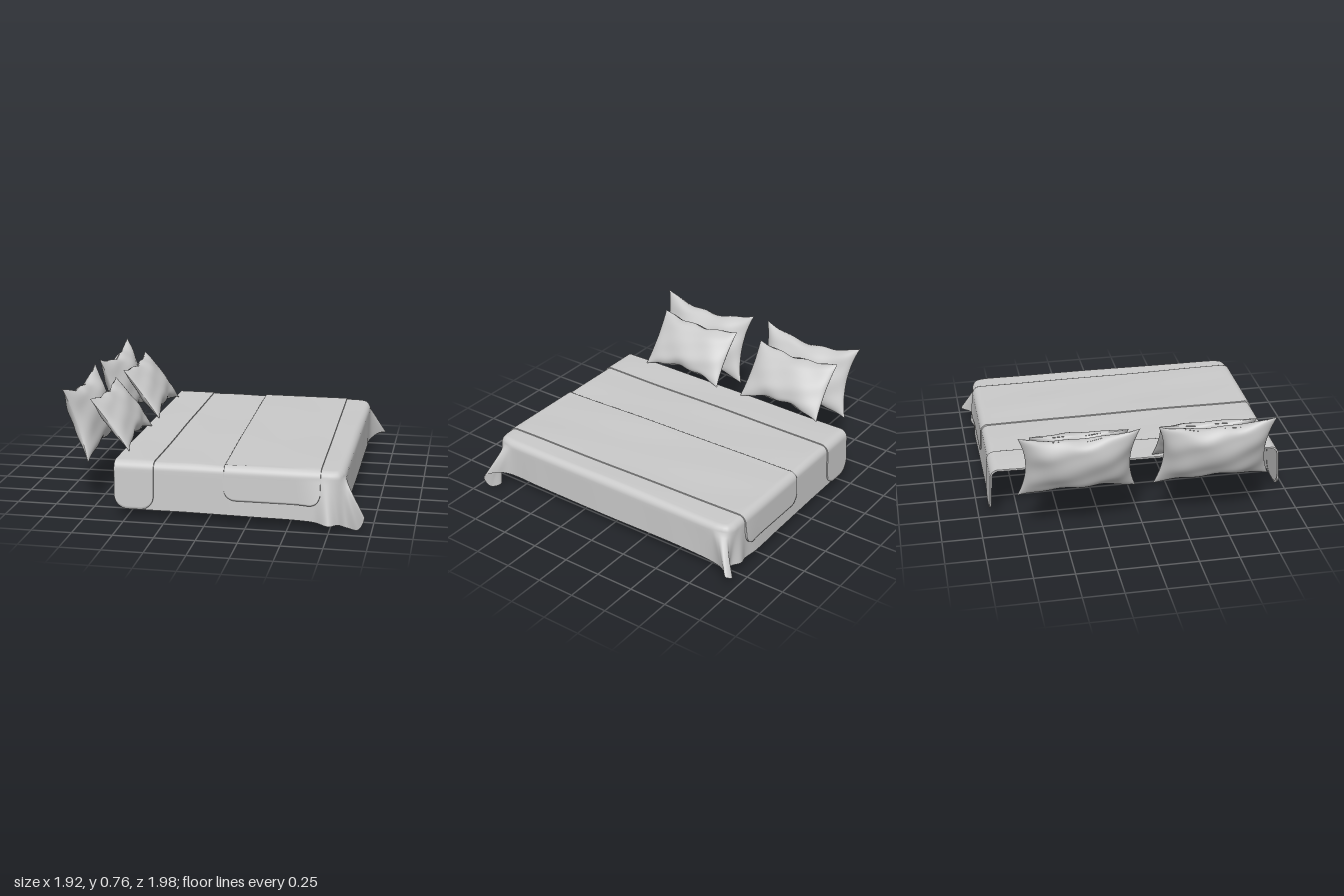
import * as THREE from 'three';

const TOP = 0.353, ROUND = 0.045, SHOULDER = TOP - ROUND;
const ripple = (x, z) => 0.0012 * (Math.sin(9 * x + 3 * z) + Math.sin(7 * z - 5 * x) + Math.sin(17 * x - 4 * z));
// slightly slanted head edge of the cover
const headX = (z) => -0.56 - 0.0115 * z;

// Smooth grid surface from a rule fn(i, j) -> [x, y, z]
function sheet(nu, nv, fn) {
  const pos = [], index = [];
  for (let j = 0; j <= nv; j++) for (let i = 0; i <= nu; i++) pos.push(...fn(i, j));
  for (let j = 0; j < nv; j++) {
    for (let i = 0; i < nu; i++) {
      const a = j * (nu + 1) + i, b = a + 1, c = a + nu + 1, d = c + 1;
      index.push(a, b, d, a, d, c);
    }
  }
  const geo = new THREE.BufferGeometry();
  geo.setAttribute('position', new THREE.Float32BufferAttribute(pos, 3));
  geo.setIndex(index);
  geo.computeVertexNormals();
  return geo;
}

// Draped cover: [top x, top z, outward x, outward z, hem x, hem y, hem z]
const sideKeys = [
  [-0.57, 0.87, 0, 1, -0.57, 0.18, 0.92],
  [-0.56, 0.87, 0, 1, -0.555, 0.12, 0.922],
  [-0.53, 0.87, 0, 1, -0.53, 0.085, 0.923],
  [-0.47, 0.87, 0, 1, -0.47, 0.066, 0.924],
  [-0.1, 0.87, 0, 1, -0.1, 0.06, 0.926],
  [0.3, 0.87, 0, 1, 0.3, 0.055, 0.928],
  [0.54, 0.87, 0, 1, 0.55, 0.052, 0.93],
];
const cornerTop = [
  [0.64, 0.87, 0, 1], [0.71, 0.87, 0, 1], [0.75, 0.868, 0.2, 0.98], [0.775, 0.86, 0.6, 0.8],
  [0.782, 0.845, 0.8, 0.6], [0.785, 0.83, 0.9, 0.4], [0.787, 0.81, 1, 0.1], [0.788, 0.78, 1, 0],
];
const frontHem = [
  [0.66, 0.05, 0.945], [0.75, 0.045, 0.993], [0.8, 0.04, 0.94], [0.85, 0.008, 0.885],
  [0.92, 0.01, 0.915], [0.957, 0.1, 0.935], [0.9, 0.12, 0.88], [0.845, 0.106, 0.82],
];
const backHem = [
  [0.66, 0.06, 0.925], [0.73, 0.07, 0.94], [0.8, 0.075, 0.91], [0.85, 0.08, 0.935],
  [0.9, 0.085, 0.99], [0.935, 0.1, 0.965], [0.89, 0.105, 0.915], [0.84, 0.086, 0.82],
];

function coverGeometry() {
  const half = (hem) => [
    ...sideKeys,
    ...cornerTop.map((t, i) => [...t, ...hem[i]]),
    [0.788, 0.55, 1, 0, 0.836, 0.098, 0.55],
  ];
  // the back half starts a little further from the head
  const flip = ([a, b, c, d, e, f, g]) => {
    const shift = a < -0.4 ? 0.02 : 0;
    return [a + shift, -b, c, -d, e + shift, f, -g];
  };
  const keys = [...half(frontHem), [0.788, 0, 1, 0, 0.836, 0.094, 0], ...half(backHem).map(flip).reverse()];
  const curve = (fn) => new THREE.CatmullRomCurve3(keys.map((k) => new THREE.Vector3(...fn(k))));
  const rim = curve((k) => [k[0], TOP, k[1]]);
  const shoulder = curve((k) => [k[0] + ROUND * k[2], SHOULDER, k[1] + ROUND * k[3]]);
  const hem = curve((k) => [k[4], k[5], k[6]]);
  const N = 264, SKIRT = 10, ARC = 6, FILL = 20;
  const path = [];
  for (let i = 0; i <= N; i++) path.push([rim, shoulder, hem].map((c) => c.getPoint(i / N)));
  return sheet(N, SKIRT + ARC + FILL, (i, j) => {
    const [t, s, h] = path[i];
    if (j <= SKIRT) return h.clone().lerp(s, j / SKIRT).toArray();
    if (j <= SKIRT + ARC) {
      const a = ((j - SKIRT) / ARC) * Math.PI / 2, out = Math.cos(a);
      const x = t.x + (s.x - t.x) * out, z = t.z + (s.z - t.z) * out;
      return [x, SHOULDER + ROUND * Math.sin(a) + ripple(x, z) * (1 - out), z];
    }
    const f = (j - SKIRT - ARC) / FILL;
    const z = t.z * (1 - f), x = headX(z) + (t.x - headX(t.z)) * (1 - 0.5 * f);
    return [x, TOP + ripple(x, z), z];
  });
}

// Raised fabric band wrapped across the bed, with rounded lower corners
function bandGeometry(x0, x1, bottom, radius, slant) {
  const NU = 32, NV = 120;
  return sheet(NU, NV, (i, j) => {
    const edge = i === 0 || i === NU || j === 0 || j === NV;
    const off = edge ? -0.004 : 0.007;
    const f = THREE.MathUtils.clamp((i - 1) / (NU - 2), 0, 1);
    // columns gather towards the edges
    const g = 0.5 - 0.5 * Math.cos(f * Math.PI);
    const x = x0 + (x1 - x0) * g;
    const d = Math.max(0, radius - Math.min(x - x0, x1 - x));
    const low = bottom + radius - Math.sqrt(radius * radius - d * d);
    const q = THREE.MathUtils.clamp((j - 1) / (NV - 2), 0, 1) * 2 - 1, a = Math.abs(q), sign = Math.sign(q);
    let y, z;
    if (a < 0.6) {
      z = 0.87 * a / 0.6;
      y = TOP + off;
    } else if (a < 0.75) {
      const ang = ((a - 0.6) / 0.15) * Math.PI / 2;
      z = 0.87 + (ROUND + off) * Math.sin(ang);
      y = SHOULDER + (ROUND + off) * Math.cos(ang);
    } else {
      y = SHOULDER + (low - SHOULDER) * (a - 0.75) / 0.25;
      const drop = (SHOULDER - y) / 0.25;
      const flare = (sign > 0 ? 0.06 : 0.02) * THREE.MathUtils.smoothstep(x, 0.5, 0.72);
      z = 0.915 + off + drop * (0.012 + flare);
    }
    z *= sign;
    const skewed = x + slant * z;
    return [skewed, y + (a < 0.6 ? ripple(skewed, z) : 0), z];
  });
}

// One puffed face of a pillow: width along z, height along y, bulge along x
function pillowFace(w, h, thick, dipSide, dipTop, dipBottom, side, seed) {
  const N = 32;
  return sheet(N, N, (i, j) => {
    const u = Math.sin((i / N - 0.5) * Math.PI), v = Math.sin((j / N - 0.5) * Math.PI);
    const eu = 1 - u * u, ev = 1 - v * v;
    const dip = v > 0 ? dipTop : dipBottom;
    const fold = 0.1 * Math.sin(7 * u + 3 * v + seed) + 0.08 * Math.sin(8 * v - 4 * u + seed * 2);
    const bulge = Math.pow(eu * ev, 0.55) * (1 + fold * (1 - 0.6 * eu * ev));
    return [
      side * thick / 2 * bulge,
      h / 2 * v * (1 - dip * eu * Math.abs(v)) + 0.008 * Math.sin(9 * u + seed) * eu * v * v,
      -side * w / 2 * u * (1 - dipSide * ev * Math.abs(u)),
    ];
  });
}

export function createModel() {
  const model = new THREE.Group();
  model.name = 'bedding';
  const fabric = new THREE.MeshStandardMaterial({ color: 0xcacaca, side: THREE.DoubleSide });
  fabric.name = 'grey fabric';
  const add = (parent, geo, name) => {
    const mesh = new THREE.Mesh(geo, fabric);
    mesh.name = name;
    parent.add(mesh);
  };

  add(model, coverGeometry(), 'bedCover');
  add(model, bandGeometry(-0.563, -0.317, 0.063, 0.085, -0.011), 'headBand');
  add(model, bandGeometry(0.09, 0.675, 0.15, 0.07, 0.018), 'footBand');

  // Two pairs of pillows leaning towards the head
  const pillow = (name, x, y, z, lean, size, seed) => {
    const group = new THREE.Group();
    group.name = name;
    for (const side of [1, -1]) add(group, pillowFace(...size, side, seed + side), side > 0 ? 'pillowFront' : 'pillowBack');
    group.position.set(x, y, z);
    group.rotation.z = lean;
    model.add(group);
  };
  const large = [0.73, 0.488, 0.18, 0.13, 0.28, 0.22], small = [0.605, 0.405, 0.135, 0.045, 0.18, 0.28];
  for (const [side, zLarge, zSmall] of [['left', 0.425, 0.405], ['right', -0.415, -0.395]]) {
    pillow(side + 'LargePillow', -0.849, 0.528, zLarge, 0.315, large, zLarge * 4);
    pillow(side + 'SmallPillow', -0.652, 0.521, zSmall, 0.643, small, zSmall * 5);
  }
  return model;
}
